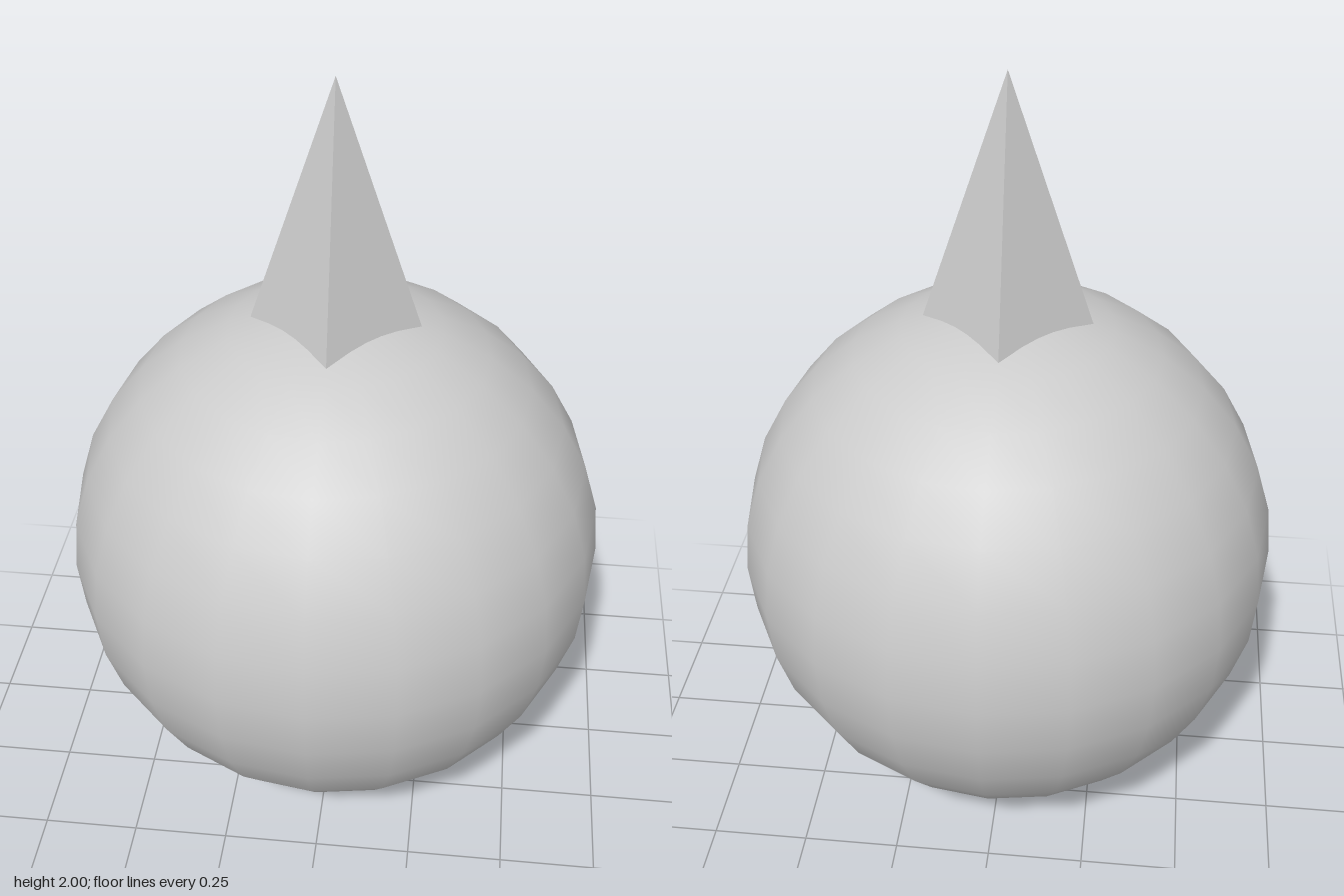
import * as THREE from 'three';

const RADIUS = 0.7;
const SPIKE_RADIUS = 0.233;
const SPIKE_HEIGHT = 0.7;

export function createModel() {
  const model = new THREE.Group();
  model.name = 'spikedBall';

  // Smooth ball resting on the ground
  const ball = new THREE.Mesh(
    new THREE.SphereGeometry(RADIUS, 20, 16),
    new THREE.MeshStandardMaterial({ color: 0xcccccc })
  );
  ball.name = 'ball';
  ball.position.y = RADIUS;

  // Four-sided spike, corners on the axes, its base sunk into the ball
  const spike = new THREE.Mesh(
    new THREE.ConeGeometry(SPIKE_RADIUS, SPIKE_HEIGHT, 4),
    new THREE.MeshStandardMaterial({ color: 0xcccccc, flatShading: true })
  );
  spike.name = 'spike';
  spike.position.y = 2 - SPIKE_HEIGHT / 2;

  model.add(ball, spike);
  return model;
}
